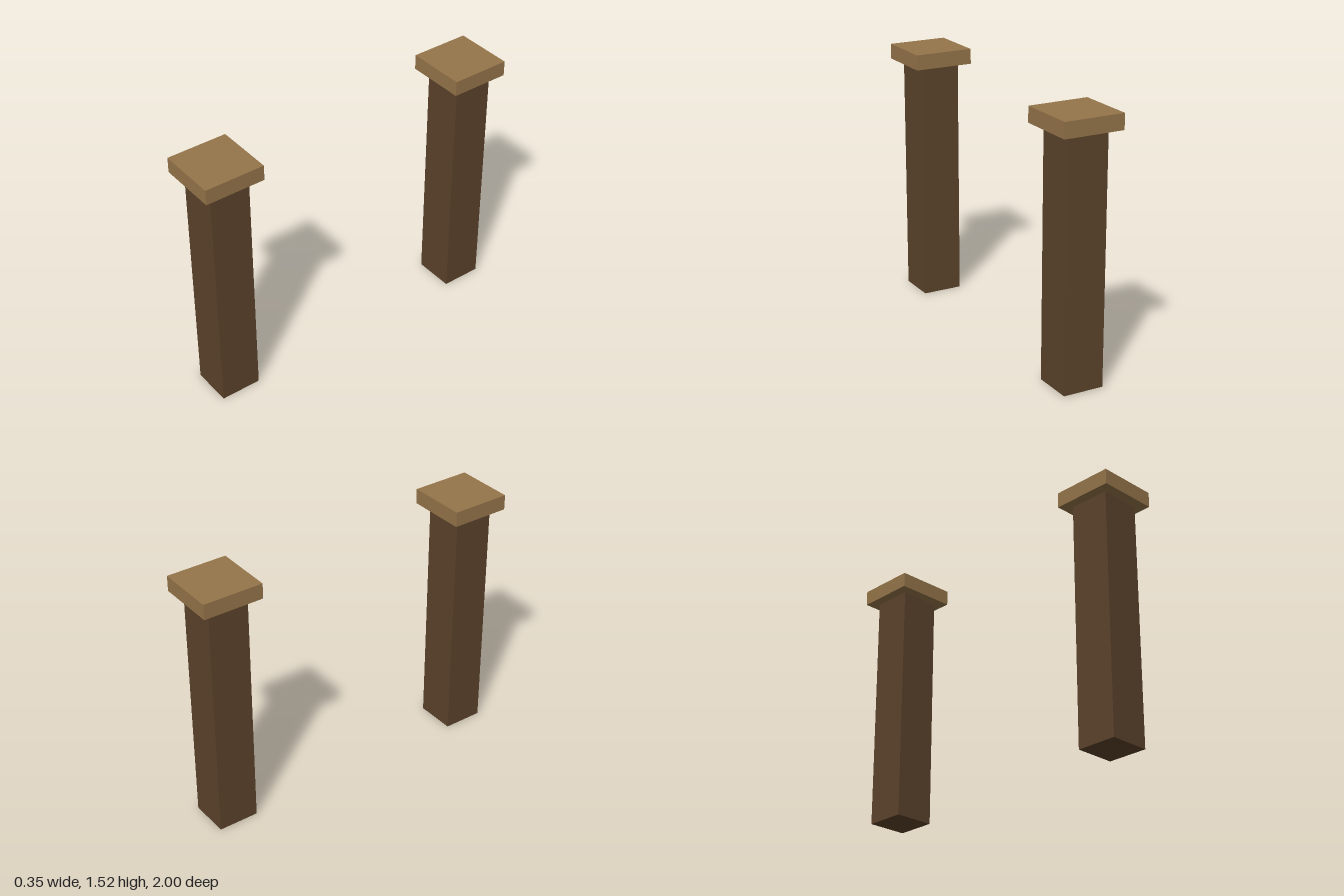
import * as THREE from 'three';

const POST_WIDTH = 0.24, POST_HEIGHT = 1.435;
const CAP_WIDTH = 0.355, CAP_HEIGHT = 0.09;

export function createModel() {
  const model = new THREE.Group();
  model.name = 'gatePosts';
  const darkWood = new THREE.MeshStandardMaterial({ color: 0x5c432b });
  const lightWood = new THREE.MeshStandardMaterial({ color: 0x96754a });

  // Two matching square posts, one at the front and one at the back
  for (const side of [1, -1]) {
    const pillar = new THREE.Group();
    pillar.name = side > 0 ? 'frontPillar' : 'backPillar';
    pillar.position.z = side * (1 - CAP_WIDTH / 2);

    const post = new THREE.Mesh(new THREE.BoxGeometry(POST_WIDTH, POST_HEIGHT, POST_WIDTH), darkWood);
    post.name = 'post';
    post.position.y = POST_HEIGHT / 2;

    // Flat overhanging cap
    const cap = new THREE.Mesh(new THREE.BoxGeometry(CAP_WIDTH, CAP_HEIGHT, CAP_WIDTH), lightWood);
    cap.name = 'cap';
    cap.position.y = POST_HEIGHT + CAP_HEIGHT / 2;

    pillar.add(post, cap);
    model.add(pillar);
  }
  return model;
}
